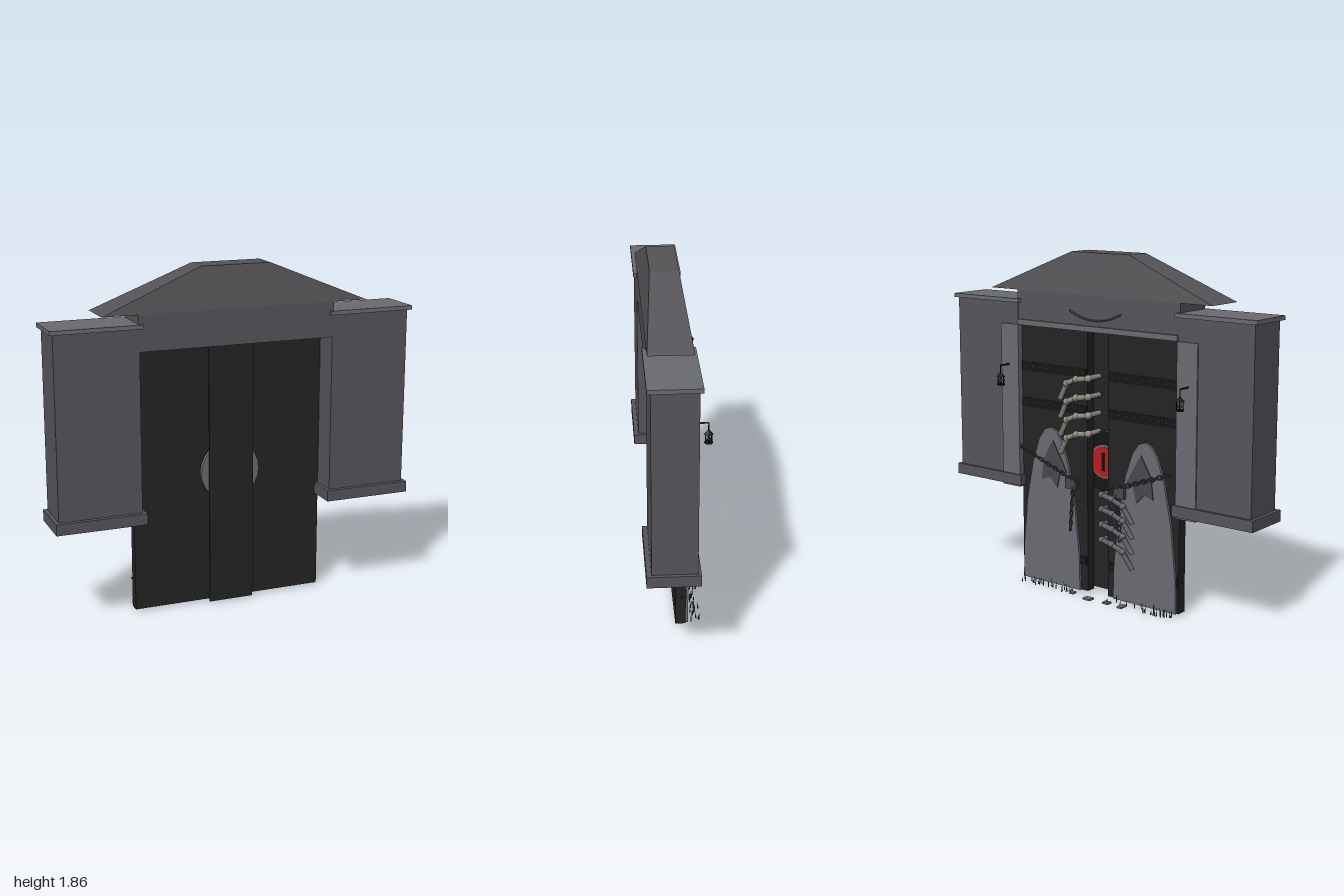
import * as THREE from 'three';

const mat = (name, color, flatShading = false) => {
  const m = new THREE.MeshStandardMaterial({ color, flatShading, side: THREE.DoubleSide });
  m.name = name;
  return m;
};

export function createModel() {
  const root = new THREE.Group();
  const stone = mat('stone', 0x55555b), pale = mat('pale stone', 0x6a6a72), roofM = mat('roof', 0x545458);
  const wood = mat('dark door', 0x242424), iron = mat('iron', 0x161618), shade = mat('shadow grey', 0x47474d);
  const bone = mat('bone', 0x8f8f84), claw = mat('grey claw', 0x62626a), red = mat('red eye', 0xb81c1c);

  const add = (name, geo, m, parent = root) => {
    const mesh = new THREE.Mesh(geo, m);
    mesh.name = name;
    parent.add(mesh);
    return mesh;
  };
  // box given by its two corners
  const box = (name, m, x0, x1, y0, y1, z0, z1, parent) => {
    const b = add(name, new THREE.BoxGeometry(Math.abs(x1 - x0), y1 - y0, z1 - z0), m, parent);
    b.position.set((x0 + x1) / 2, (y0 + y1) / 2, (z0 + z1) / 2);
    return b;
  };
  const disc = (name, m, r, depth, z, y = 0.74) => {
    const d = add(name, new THREE.CylinderGeometry(r, r, depth, 24), m);
    d.rotation.x = Math.PI / 2;
    d.position.set(0, y, z);
    return d;
  };
  // rod between two points
  const rod = (name, m, a, b, r0, r1, parent, sides = 6) => {
    const p = new THREE.Vector3(...a), q = new THREE.Vector3(...b), d = q.clone().sub(p);
    const c = add(name, new THREE.CylinderGeometry(r1, r0, d.length(), sides), m, parent);
    c.position.copy(p).add(q).multiplyScalar(0.5);
    c.quaternion.setFromUnitVectors(new THREE.Vector3(0, 1, 0), d.normalize());
    return c;
  };
  const ball = (name, m, r, x, y, z, parent) => {
    const s = add(name, new THREE.SphereGeometry(r, 8, 6), m, parent);
    s.position.set(x, y, z);
    return s;
  };
  const plate = (name, m, pts, z, depth, parent) => {
    const shape = new THREE.Shape(pts.map(p => new THREE.Vector2(p[0], p[1])));
    const e = add(name, new THREE.ExtrudeGeometry(shape, { depth, bevelEnabled: false }), m, parent);
    e.position.z = z;
    return e;
  };

  // lintel and hipped roof
  box('lintel', stone, -0.54, 0.54, 1.45, 1.64, -0.072, 0.15);
  const roofGeo = new THREE.BoxGeometry(1.46, 0.22, 0.225).toNonIndexed();
  const rp = roofGeo.attributes.position;
  for (let i = 0; i < rp.count; i++) {
    if (rp.getY(i) > 0) rp.setXYZ(i, Math.sign(rp.getX(i)) * 0.19, 0.11, Math.sign(rp.getZ(i)) * 0.073);
  }
  roofGeo.computeVertexNormals();
  add('roof', roofGeo, roofM).position.set(0, 1.75, 0.04);

  // central strip in front, lintel trim and curved moulding behind
  box('frontStrip', wood, -0.125, 0.125, 0.01, 1.45, 0.04, 0.05);
  box('lintelTrim', pale, -0.53, 0.53, 1.45, 1.48, -0.085, -0.06);
  const arc = new THREE.QuadraticBezierCurve3(new THREE.Vector3(-0.17, 1.555, -0.075),
    new THREE.Vector3(0, 1.465, -0.075), new THREE.Vector3(0.17, 1.555, -0.075));
  add('curvedMoulding', new THREE.TubeGeometry(arc, 16, 0.005, 6), shade);

  // eye behind the gap
  disc('eyeMount', pale, 0.165, 0.02, 0.025);
  disc('eyeBacking', iron, 0.165, 0.006, 0.012);
  disc('eyeRim', pale, 0.095, 0.008, 0.006);
  disc('eyeRed', red, 0.083, 0.008, 0.002);
  box('pupil', iron, -0.008, 0.008, 0.69, 0.79, -0.006, -0.001);

  for (const s of [1, -1]) {
    const side = new THREE.Group();
    side.name = s > 0 ? 'leftSide' : 'rightSide';
    root.add(side);

    // pillar and jamb
    box('pillar', stone, s * 0.535, s * 0.98, 0.6, 1.57, -0.076, 0.15, side);
    box('pillarCap', pale, s * 0.52, s, 1.57, 1.592, -0.092, 0.168, side);
    box('pillarBase', stone, s * 0.515, s, 0.545, 0.605, -0.092, 0.175, side);
    box('jamb', pale, s * 0.53, s * 0.655, 0.535, 1.45, -0.083, -0.05, side);

    // door leaf with iron bands and rivets
    box('doorLeaf', wood, s * 0.07, s * 0.535, 0.01, 1.45, -0.05, 0.005, side);
    for (const y of [0.18, 1.02, 1.22]) {
      box('doorBand', iron, s * 0.075, s * 0.53, y - 0.025, y + 0.025, -0.054, -0.05, side);
      for (let i = 0; i < 9; i++) ball('rivet', pale, 0.005, s * (0.1 + i * 0.05), y, -0.055, side);
    }
    ball('sideRivet', iron, 0.006, s * 0.542, 0.18, -0.03, side);

    // cloaked arch shape with darker hollow
    const half = [[0.205, 0.01], [0.2, 0.2], [0.17, 0.48], [0.125, 0.7], [0.08, 0.83], [0.04, 0.885]];
    const outline = [...half, [0, 0.9], ...half.slice().reverse().map(p => [-p[0], p[1]])];
    plate('archPanel', pale, outline.map(p => [p[0] + s * 0.32, p[1]]), -0.064, 0.014, side);
    const hollow = [[0, 0.83], [0.055, 0.74], [0.1, 0.66], [0.05, 0.65], [0.03, 0.57], [-0.02, 0.62],
      [-0.08, 0.6], [-0.065, 0.72]];
    plate('hollow', shade, hollow.map(p => [s * (0.3 - p[0]), p[1]]), -0.069, 0.006, side);

    // chains
    const chain = (a, b, n) => {
      const angle = Math.atan2(b[1] - a[1], b[0] - a[0]);
      for (let i = 0; i < n; i++) {
        const t = i / (n - 1);
        const link = add('chainLink', new THREE.TorusGeometry(0.013, 0.004, 5, 8), shade, side);
        link.scale.set(1.3, 0.85, 1);
        link.position.set(s * (a[0] + (b[0] - a[0]) * t), a[1] + (b[1] - a[1]) * t, -0.078);
        link.rotation.order = 'ZXY';
        link.rotation.set(i % 2 ? 1.2 : 0.2, 0, s * angle);
      }
    };
    chain([0.53, 0.77], [0.12, 0.62], 17);
    chain([0.15, 0.61], [0.17, 0.36], 10);
    box('shackle', shade, s * 0.13, s * 0.2, 0.58, 0.64, -0.085, -0.065, side);

    // lantern on a bracket
    const lamp = new THREE.Group();
    lamp.name = 'lantern';
    lamp.position.set(s * 0.6, 0, -0.152);
    side.add(lamp);
    rod('bracket', iron, [0, 1.225, 0.075], [0, 1.225, 0], 0.005, 0.005, lamp);
    rod('hanger', iron, [0, 1.225, 0], [0, 1.18, 0], 0.003, 0.003, lamp);
    rod('lampRoof', iron, [0, 1.163, 0], [0, 1.185, 0], 0.025, 0.006, lamp);
    rod('lampFloor', iron, [0, 1.115, 0], [0, 1.123, 0], 0.022, 0.022, lamp);
    ball('lampCore', shade, 0.011, 0, 1.14, 0, lamp);
    for (let i = 0; i < 6; i++) {
      const c = Math.cos(i * Math.PI / 3) * 0.018, d = Math.sin(i * Math.PI / 3) * 0.018;
      rod('lampBar', iron, [c, 1.12, d], [c, 1.165, d], 0.0025, 0.0025, lamp, 4);
    }
  }

  // hands whose fingers hook round the leaf edges
  const hand = (name, m, s, ys, r) => {
    const g = new THREE.Group();
    g.name = name;
    root.add(g);
    ys.forEach(y => {
      const pts = [[0.05, y, 0.028], [0.045, y, -0.075], [0.12, y - 0.01, -0.085],
        [0.19, y - 0.04, -0.08], [0.245, y - 0.13, -0.066]].map(p => [s * p[0], p[1], p[2]]);
      for (let i = 0; i < 4; i++) {
        rod('fingerBone', m, pts[i], pts[i + 1], r * 0.85, r * 0.95, g);
        if (i) ball('knuckle', m, r * 1.2, ...pts[i], g);
      }
    });
  };
  hand('upperHand', bone, 1, [1.2, 1.1, 1.0, 0.9], 0.017);
  hand('lowerHand', claw, -1, [0.58, 0.5, 0.415, 0.33], 0.016);

  // shards and loose slabs along the ground
  let seed = 7;
  const rnd = () => (seed = (seed * 16807) % 2147483647) / 2147483647;
  for (let i = 0; i < 60; i++) {
    const x = (i % 2 ? 1 : -1) * (0.12 + rnd() * 0.4), z = -0.08 - rnd() * 0.05;
    const h = 0.02 + rnd() * 0.03;
    rod('shard', shade, [x, 0, z], [x + (rnd() - 0.5) * 0.01, h, z], 0.004, 0.001, root, 4);
  }
  for (const [x, z, w, d] of [[-0.22, -0.125, 0.03, 0.05], [-0.12, -0.125, 0.04, 0.035],
    [0, -0.135, 0.05, 0.04], [0.13, -0.11, 0.03, 0.03]]) {
    box('slab', pale, x - w / 2, x + w / 2, 0, 0.009, z - d / 2, z + d / 2);
  }
  return root;
}
